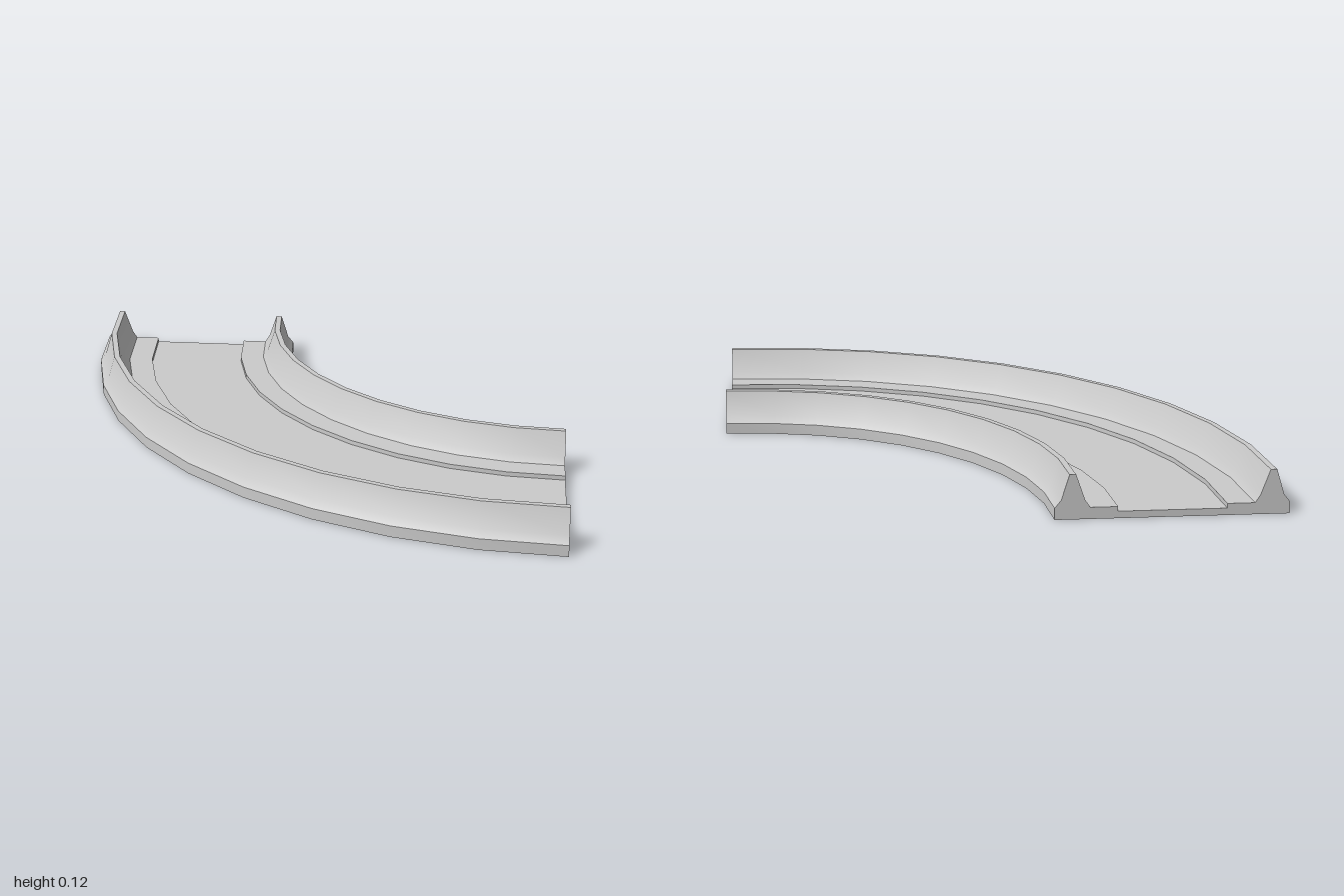
import * as THREE from 'three';
import { toCreasedNormals } from 'three/addons/utils/BufferGeometryUtils.js';

const R_OUT = Math.SQRT2, WIDTH = 0.586;   // quarter bend, outer radius and track width
const START = Math.PI * 1.25, SWEEP = Math.PI / 2, SEGMENTS = 10;
const FLOOR = 0.03, GROOVE = 0.018, TOP = 0.115;

export function createModel() {
  const group = new THREE.Group();
  const material = new THREE.MeshStandardMaterial({ color: 0xcccccc });

  const add = (name, geometry) => {
    const mesh = new THREE.Mesh(geometry, material);
    mesh.name = name;
    mesh.position.x = 1;                   // centre of the bend
    group.add(mesh);
  };

  // Profiles are [distance in from the outer edge, height], ordered outer to inner
  const toPoints = (profile) => profile.map(([d, y]) => new THREE.Vector2(R_OUT - d, y));
  const sweep = (name, profile) => add(name, toCreasedNormals(
    new THREE.LatheGeometry(toPoints(profile), SEGMENTS, START, SWEEP), 0.6));
  const mirror = (profile) => profile.map(([d, y]) => [WIDTH - d, y]).reverse();

  // Flared guard rail and the bed with its sunken running surface
  const rail = [[0, FLOOR], [0.016, 0.05], [0.036, TOP], [0.052, TOP], [0.075, 0.05], [0.088, FLOOR]];
  const innerRail = mirror(rail);
  const ledge = [[0.088, FLOOR], [0.157, FLOOR], [0.157, GROOVE]];
  const bed = [...ledge, ...mirror(ledge)];
  const base = [[WIDTH, FLOOR], [WIDTH, 0], [0, 0], [0, FLOOR]];

  sweep('outerRail', rail);
  sweep('innerRail', innerRail);
  sweep('trackBed', bed);
  sweep('base', base);

  // Flat end faces closing the swept section
  const outline = toPoints([[0, 0], ...rail, ...bed.slice(1, -1), ...innerRail, [WIDTH, 0]]);
  [['frontEnd', START, false], ['backEnd', START + SWEEP, true]].forEach(([name, phi, flip]) => {
    const cap = new THREE.ShapeGeometry(new THREE.Shape(outline));
    if (flip) {
      cap.index.array.reverse();
      cap.computeVertexNormals();
    }
    cap.rotateY(phi - Math.PI / 2);
    add(name, cap);
  });

  return group;
}
